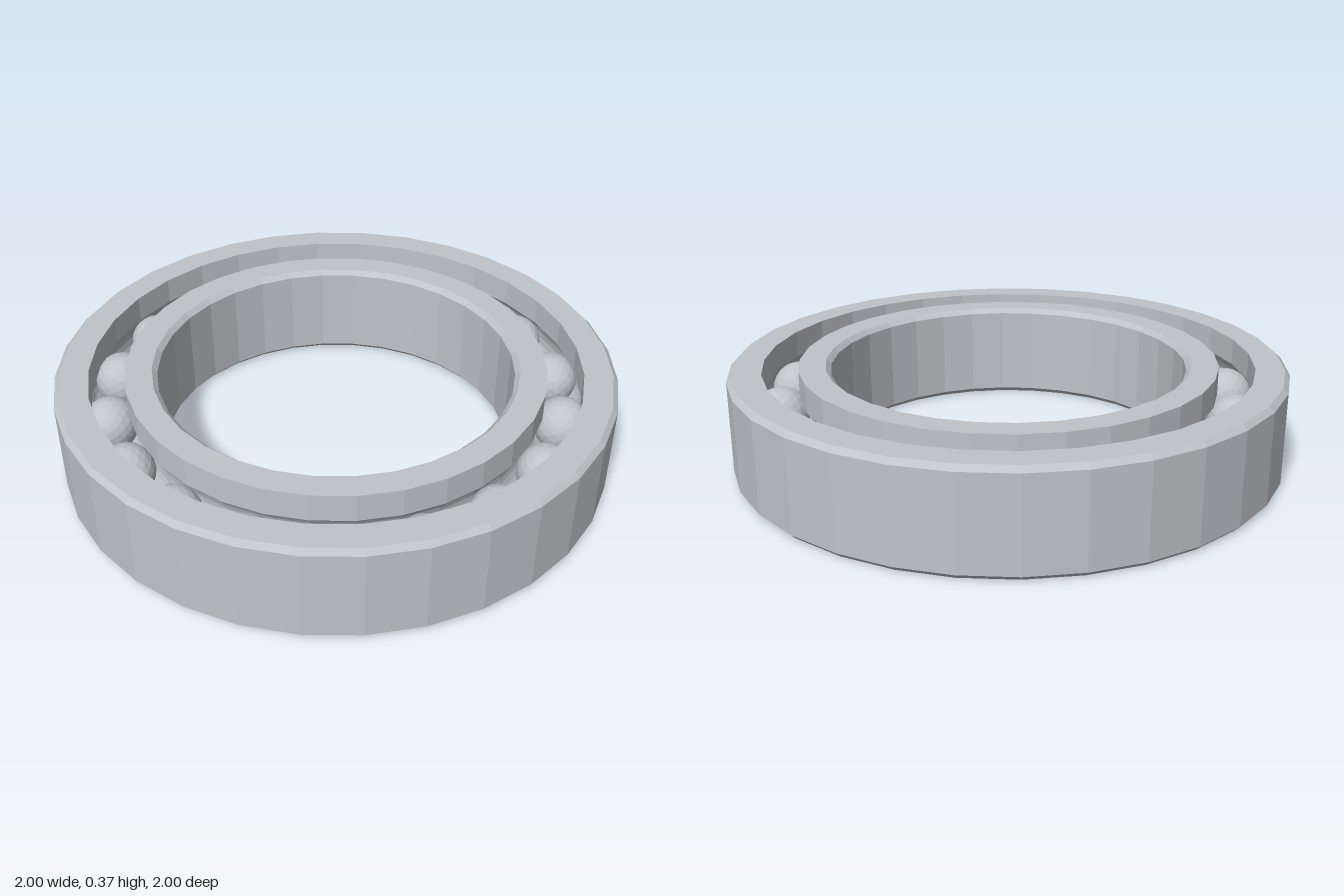
import * as THREE from 'three';

const HEIGHT = 0.365;
const MID = HEIGHT / 2;
const SIDES = 32;
const CHAMFER = 0.018;
const PITCH = 0.82;      // radius of the circle of balls
const BALL_RADIUS = 0.1;
const GROOVE = 0.105;    // radius of the raceway groove
const BALLS = 18;

// Flat facets without touching the material
function faceted(geometry) {
  const flat = geometry.index ? geometry.toNonIndexed() : geometry;
  flat.computeVertexNormals();
  return flat;
}

// Raceway arc cut into a wall at radius r, listed upwards
function raceway(r) {
  const side = Math.sign(r - PITCH);
  const half = Math.acos(Math.abs(r - PITCH) / GROOVE);
  const points = [];
  for (let i = 0; i <= 8; i++) {
    const a = -half + (2 * half * i) / 8;
    points.push([PITCH + side * GROOVE * Math.cos(a), MID + GROOVE * Math.sin(a)]);
  }
  return points;
}

// Closed profile turned around the axis
function ring(name, profile, material) {
  const points = [...profile, profile[0]].map(([r, y]) => new THREE.Vector2(r, y));
  const mesh = new THREE.Mesh(faceted(new THREE.LatheGeometry(points, SIDES)), material);
  mesh.name = name;
  return mesh;
}

export function createModel() {
  const group = new THREE.Group();
  group.name = 'ballBearing';
  const steel = new THREE.MeshStandardMaterial({ color: 0xc0c4c9 });
  steel.name = 'steel';

  // Outer ring: chamfered outside, raceway inside
  const outerBore = 0.88;
  group.add(ring('outerRing', [
    [1 - CHAMFER, 0], [1, CHAMFER], [1, HEIGHT - CHAMFER], [1 - CHAMFER, HEIGHT],
    [outerBore, HEIGHT], ...raceway(outerBore).reverse(), [outerBore, 0],
  ], steel));

  // Inner ring: raceway outside, chamfered bore
  const innerRim = 0.753, bore = 0.64;
  group.add(ring('innerRing', [
    [innerRim, 0], ...raceway(innerRim), [innerRim, HEIGHT],
    [bore + CHAMFER, HEIGHT], [bore, HEIGHT - CHAMFER], [bore, CHAMFER], [bore + CHAMFER, 0],
  ], steel));

  // Balls spaced evenly between the rings
  const balls = new THREE.Group();
  balls.name = 'balls';
  const ballGeometry = faceted(new THREE.IcosahedronGeometry(BALL_RADIUS, 3));
  for (let i = 0; i < BALLS; i++) {
    const a = (i / BALLS) * Math.PI * 2;
    const ball = new THREE.Mesh(ballGeometry, steel);
    ball.name = 'ball';
    ball.position.set(PITCH * Math.cos(a), MID, PITCH * Math.sin(a));
    ball.rotation.y = -a;
    balls.add(ball);
  }
  group.add(balls);
  return group;
}
